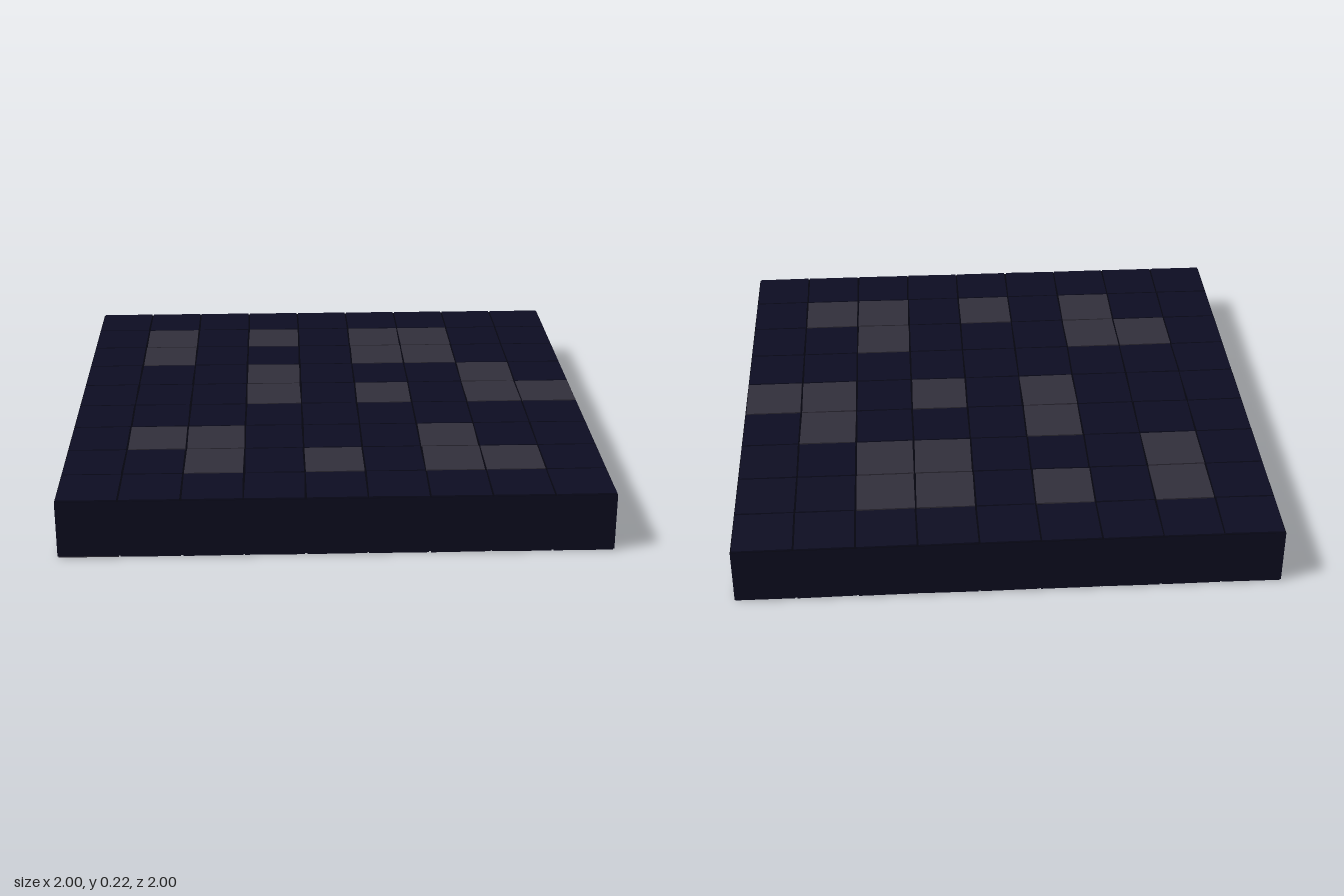
import * as THREE from 'three';

const N = 9, CELL = 2 / N, HEIGHT = 0.225, SKIN = 0.006;

// Pale tiles per face: rows run back to front, columns from -x to +x
const TOP = [
  '.........',
  '.#.#.##..',
  '.#...##..',
  '...#...#.',
  '...#.#.##',
  '.........',
  '.##...#..',
  '..#.#.##.',
  '.........',
];
const BOTTOM = [...TOP];
BOTTOM[6] = '#.#...#..';
BOTTOM[8] = '#........';

function seeded(seed) {
  let s = seed;
  return () => (s = (s * 16807) % 2147483647) / 2147483647;
}

export function createModel() {
  const navy = new THREE.MeshStandardMaterial({ color: 0x0d0d22 });
  navy.name = 'navy';
  const slate = new THREE.MeshStandardMaterial({ color: 0x322f3b });
  slate.name = 'slate';
  const seam = new THREE.MeshStandardMaterial({ color: 0x05050f });
  seam.name = 'seam';

  const model = new THREE.Group();
  model.name = 'tiledSlab';
  const rand = seeded(41);

  // Solid core: navy walls, dark seams showing between the tiles
  const core = new THREE.Mesh(
    new THREE.BoxGeometry(2, HEIGHT - 2 * SKIN, 2),
    [navy, navy, seam, seam, navy, navy]
  );
  core.name = 'core';
  core.position.y = HEIGHT / 2;
  model.add(core);

  // Thin, slightly uneven tiles laid over one face
  const tileGeometry = new THREE.BoxGeometry(CELL - 0.007, SKIN, CELL - 0.007);
  function addTiles(name, pattern, y) {
    const face = new THREE.Group();
    face.name = name;
    for (let row = 0; row < N; row++) {
      for (let col = 0; col < N; col++) {
        const pale = pattern[row][col] === '#';
        const tile = new THREE.Mesh(tileGeometry, pale ? slate : navy);
        tile.name = pale ? 'paleTile' : 'darkTile';
        tile.position.set(-1 + (col + 0.5) * CELL, y, -1 + (row + 0.5) * CELL);
        tile.rotation.y = (rand() - 0.5) * 0.03;
        face.add(tile);
      }
    }
    model.add(face);
  }
  addTiles('topTiles', TOP, HEIGHT - SKIN / 2);
  addTiles('bottomTiles', BOTTOM, SKIN / 2);

  return model;
}
